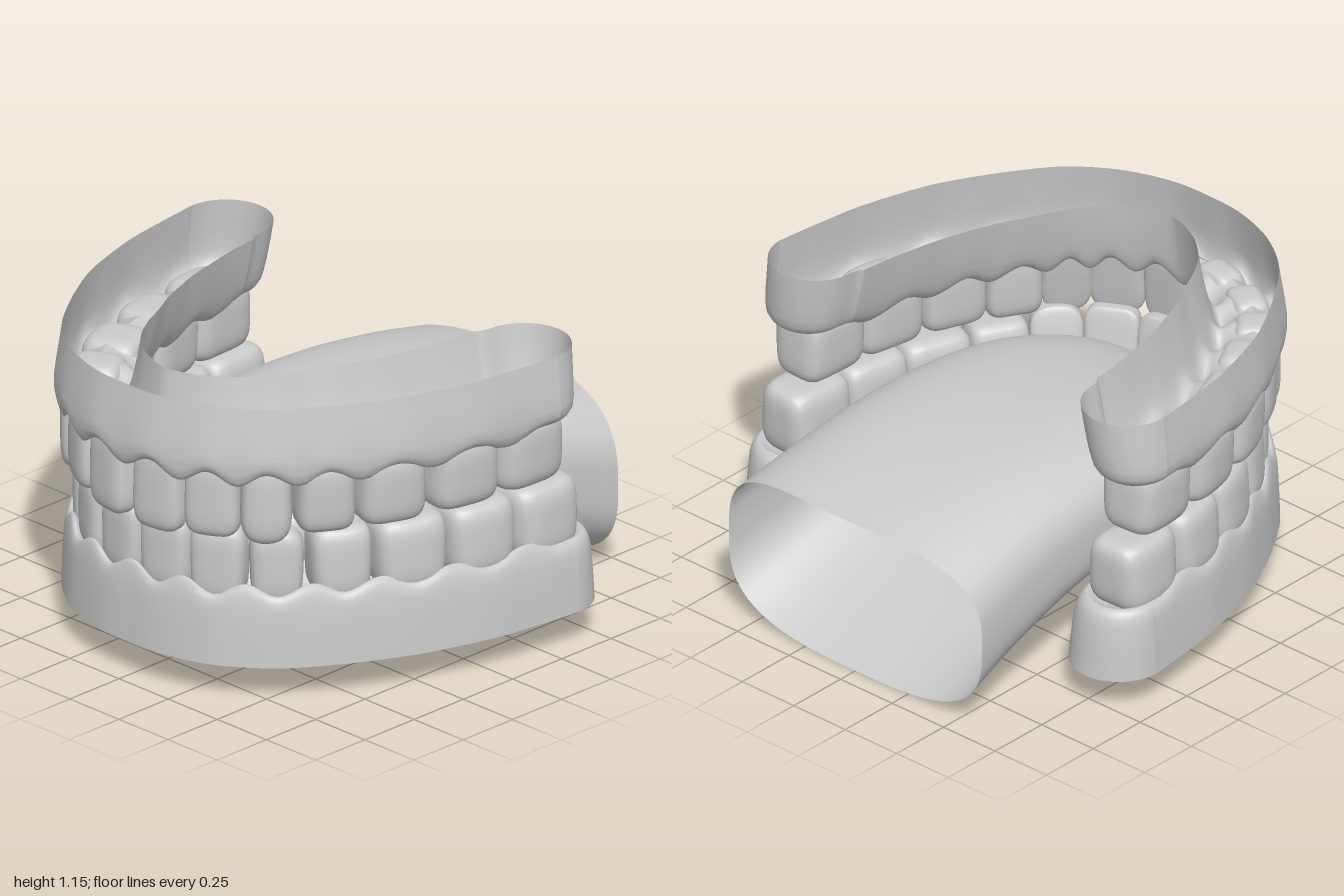
import * as THREE from 'three';
import { mergeVertices } from 'three/addons/utils/BufferGeometryUtils.js';

const toothMat = new THREE.MeshStandardMaterial({ color: 0xcccccc });
const skinMat = new THREE.MeshStandardMaterial({ color: 0xcccccc, side: THREE.DoubleSide });
const lerp = THREE.MathUtils.lerp;

// Left half of each arch, front to back: x, z, width, depth, biting edge y
const UPPER = [
  [0.117, 0.898, 0.21, 0.138, 0.613], [0.312, 0.828, 0.21, 0.15, 0.63], [0.46, 0.713, 0.19, 0.18, 0.613],
  [0.578, 0.54, 0.22, 0.215, 0.64], [0.688, 0.325, 0.26, 0.23, 0.645], [0.765, 0.05, 0.28, 0.245, 0.647],
  [0.798, -0.235, 0.295, 0.25, 0.647],
];
const LOWER = [
  [0.105, 0.847, 0.212, 0.135, 0.655], [0.3, 0.786, 0.21, 0.15, 0.655], [0.458, 0.658, 0.2, 0.17, 0.655],
  [0.582, 0.468, 0.23, 0.205, 0.655], [0.69, 0.235, 0.28, 0.23, 0.655], [0.765, -0.03, 0.28, 0.245, 0.655],
  [0.798, -0.31, 0.295, 0.25, 0.652],
];

// Skin a stack of closed rings of equal length
function loft(rings) {
  const n = rings[0].length, index = [];
  for (let r = 0; r < rings.length - 1; r++) {
    for (let i = 0; i < n; i++) {
      const a = r * n + i, b = r * n + (i + 1) % n;
      index.push(a, b, a + n, b, b + n, a + n);
    }
  }
  const g = new THREE.BufferGeometry();
  g.setAttribute('position', new THREE.Float32BufferAttribute(rings.flat(2), 3));
  g.setIndex(index);
  g.computeVertexNormals();
  return g;
}

// Arch line through the tooth centres, from the left end to the right end
function archCurve(teeth, endZ) {
  const left = [...teeth.map(t => [t[0], t[1]]), [0.797, endZ]];
  const pts = [...left].reverse().concat(left.map(([x, z]) => [-x, z]));
  return new THREE.CatmullRomCurve3(pts.map(([x, z]) => new THREE.Vector3(x, 0, z)));
}

// Point, direction and outward normal of the arch at t
function frame(curve, t) {
  const p = curve.getPoint(t), d = curve.getTangent(t);
  return { p, d, n: new THREE.Vector3(d.z, 0, -d.x) };
}

// Rounded block: narrower at the gum, wedge-shaped in front, dished on the molars
function tooth([, , w, d, biteY], gumY, place) {
  let g = new THREE.BoxGeometry(2, 2, 2, 12, 14, 10);
  g.deleteAttribute('uv');
  g.deleteAttribute('normal');
  g = mergeVertices(g);
  const front = place < 3, pos = g.attributes.position, v = new THREE.Vector3();
  const up = Math.sign(gumY - biteY), h = Math.abs(gumY - biteY) / 2, power = 4.5;
  for (let i = 0; i < pos.count; i++) {
    v.fromBufferAttribute(pos, i);
    const k = (Math.abs(v.x) ** power + Math.abs(v.y) ** power + Math.abs(v.z) ** power) ** (-1 / power);
    v.multiplyScalar(k);
    const bite = (1 - v.y) / 2;
    let { x, y, z } = v;
    x *= 1 - 0.08 * (1 - bite) ** 1.5;
    if (front && z < 0) z *= 1 - 0.75 * bite;
    if (!front) {
      z *= 1 - 0.12 * bite * bite;
      if (y < -0.6) y += 0.08 * (1 - x * x) * (1 - z * z);
    }
    // pointed canine
    if (place === 2 && y < 0) y += 0.16 * x * x * bite;
    // slight bulge of the outer face
    if (z > 0) z -= 0.12 * x * x;
    pos.setXYZ(i, x * w / 2, y * h * up, z * d / 2);
  }
  if (up < 0) { // the y flip turns the faces over
    const ix = g.index;
    for (let i = 0; i < ix.count; i += 3) {
      const a = ix.getX(i);
      ix.setX(i, ix.getX(i + 1));
      ix.setX(i + 1, a);
    }
  }
  g.computeVertexNormals();
  return g;
}

function teethRow(name, teeth, curve, gumY) {
  const row = new THREE.Group();
  row.name = name;
  for (let i = 1; i <= 14; i++) {
    const place = i <= 7 ? 7 - i : i - 8, spec = teeth[place];
    const { p, n } = frame(curve, i / 15);
    const m = new THREE.Mesh(tooth(spec, gumY, place), toothMat);
    m.name = name + 'Tooth' + i;
    m.position.set(p.x, (spec[4] + gumY) / 2, p.z);
    m.rotation.y = Math.atan2(n.x, n.z);
    row.add(m);
  }
  return row;
}

// Open trough along the arch; levels: y, outer factor, inner factor, scallop weight
function gum(name, curve, levels, { scallop, lean, outer, inner }) {
  const N = 150, CAP = 16;
  const rings = levels.map(([y, fo, fi, wgt]) => {
    const ring = [];
    const put = (t, ang, capSign) => {
      const { p, d, n } = frame(curve, t);
      const a = Math.abs(2 * t - 1), s = (1 - Math.cos(ang)) / 2;
      const wave = Math.cos(2 * Math.PI * THREE.MathUtils.clamp(15 * t, 1, 14));
      // the front wall leans back towards the rim
      const wall = outer(a) * fo - lean * Math.max(0, y - 0.92) * (1 - 0.4 * a);
      const width = lerp(wall, inner(a) * fi, s) * (1 + 0.03 * wave * Math.min(1, wgt + 0.2));
      const c = Math.cos(ang) * width, e = Math.sin(ang) * width * capSign;
      ring.push([p.x + n.x * c + d.x * e, y + scallop * wgt * wave * (1 - 0.4 * a), p.z + n.z * c + d.z * e]);
    };
    for (let i = 0; i <= N; i++) put(i / N, 0, 0);
    for (let i = 1; i < CAP; i++) put(1, Math.PI * i / CAP, 1);
    for (let i = N; i >= 0; i--) put(i / N, Math.PI, 0);
    for (let i = CAP - 1; i > 0; i--) put(0, Math.PI * i / CAP, -1);
    return ring;
  });
  const m = new THREE.Mesh(loft(rings), skinMat);
  m.name = name;
  return m;
}

// Hollow tongue, open at the throat; keys: z, top y, bottom y, half width
function tongue() {
  const keys = [
    [-0.92, 0.68, 0.005, 0.615], [-0.7, 0.73, 0.085, 0.595], [-0.4, 0.77, 0.18, 0.58], [-0.1, 0.778, 0.24, 0.565],
    [0.2, 0.755, 0.28, 0.53], [0.42, 0.715, 0.31, 0.46], [0.6, 0.65, 0.33, 0.35], [0.71, 0.57, 0.36, 0.24],
    [0.76, 0.5, 0.39, 0.12], [0.77, 0.44, 0.43, 0.005],
  ];
  const shape = new THREE.CatmullRomCurve3(keys.map(([z, t, b]) => new THREE.Vector3(z, t, b)));
  const wide = new THREE.CatmullRomCurve3(keys.map(([z, , , w]) => new THREE.Vector3(z, w, 0)));
  const rings = [], R = 54, S = 64;
  const pw = c => Math.sign(c) * Math.abs(c) ** (2 / 3);
  for (let r = 0; r <= R; r++) {
    const k = shape.getPoint(r / R), w = Math.max(0.003, wide.getPoint(r / R).y), ring = [];
    const back = 0.08 * Math.max(0, -k.x / 0.92);
    for (let i = 0; i < S; i++) {
      const a = i / S * Math.PI * 2, s = Math.sin(a), c = pw(Math.cos(a));
      ring.push([w * c, (k.y + k.z) / 2 + (k.y - k.z) / 2 * pw(s), k.x - (s > 0 ? back * (1 - c * c) : 0)]);
    }
    rings.push(ring);
  }
  const m = new THREE.Mesh(loft(rings), skinMat);
  m.name = 'tongue';
  return m;
}

export function createModel() {
  const model = new THREE.Group();
  model.name = 'mouth';
  const up = archCurve(UPPER, -0.295), low = archCurve(LOWER, -0.375);
  model.add(
    teethRow('upperTeeth', UPPER, up, 0.94),
    teethRow('lowerTeeth', LOWER, low, 0.365),
    gum('upperGum', up, [
      [1.16, 1, 1, 0], [1.09, 1, 0.94, 0], [1.02, 1, 0.87, 0.1], [0.96, 0.98, 0.8, 0.3], [0.92, 0.93, 0.74, 0.6],
      [0.893, 0.85, 0.67, 0.9], [0.878, 0.75, 0.59, 1], [0.885, 0.65, 0.5, 1], [0.91, 0.48, 0.38, 0.5], [0.93, 0, 0, 0],
    ], {
      scallop: 0.028, lean: 0.17, outer: a => lerp(0.1, 0.157, a),
      inner: a => 0.135 + 0.11 * Math.sin(Math.PI * 0.76 * a),
    }),
    gum('lowerGum', low, [
      [0.14, 1, 1, 0], [0.22, 0.98, 0.96, 0], [0.3, 0.95, 0.91, 0.1], [0.36, 0.92, 0.85, 0.3], [0.395, 0.87, 0.78, 0.6],
      [0.418, 0.81, 0.71, 0.9], [0.43, 0.73, 0.63, 1], [0.425, 0.63, 0.53, 1], [0.395, 0.48, 0.4, 0.5], [0.375, 0, 0, 0],
    ], {
      scallop: -0.026, lean: 0, outer: a => lerp(0.105, 0.168, a),
      inner: a => 0.14 + 0.085 * Math.sin(Math.PI * 0.78 * a),
    }),
    tongue(),
  );
  return model;
}
